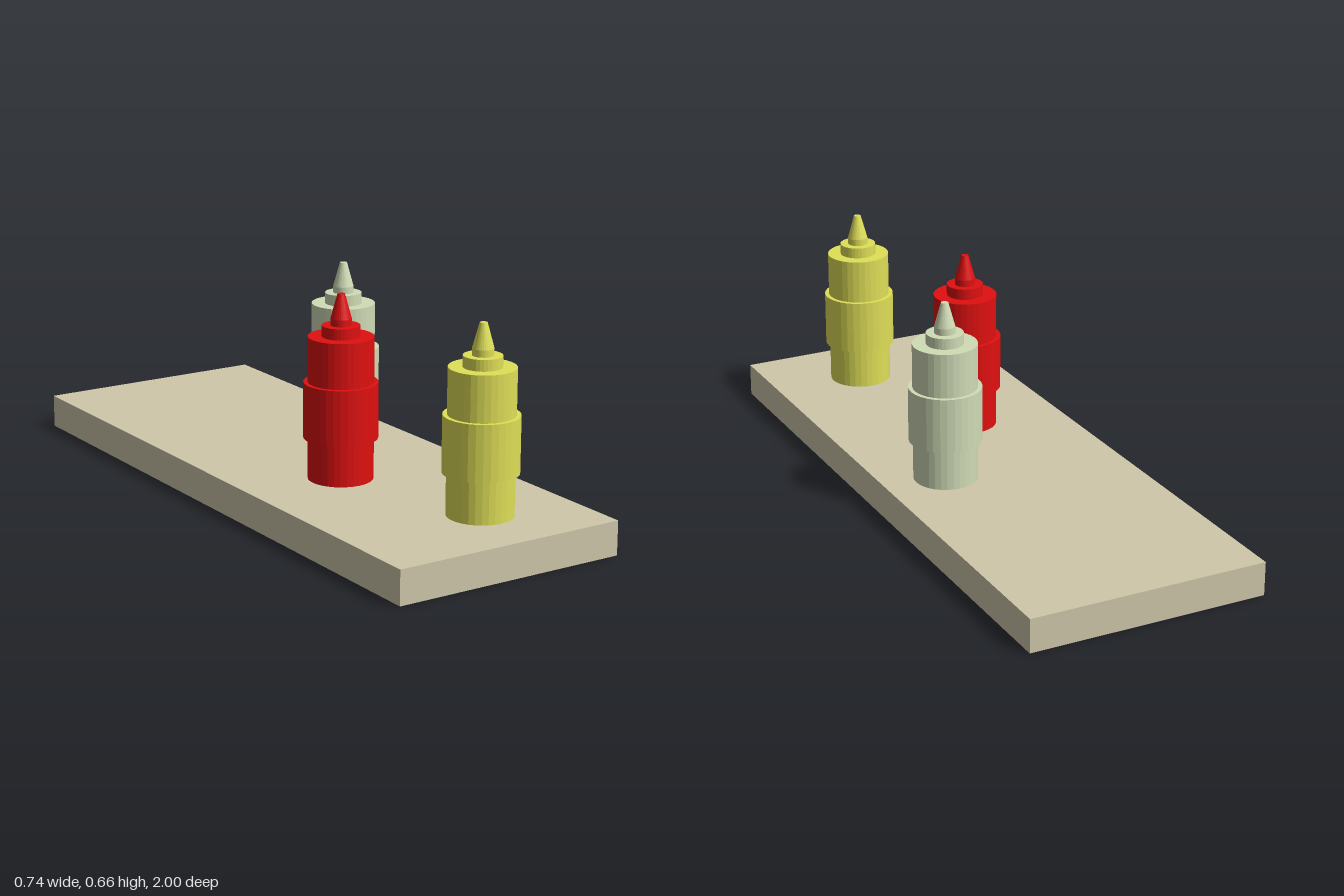
import * as THREE from 'three';

const SIDES = 32;

function material(color, flatShading = true) {
  return new THREE.MeshStandardMaterial({ color, flatShading });
}

// One stacked round section between two heights
function section(name, bottomRadius, topRadius, y0, y1, mat) {
  const mesh = new THREE.Mesh(
    new THREE.CylinderGeometry(topRadius, bottomRadius, y1 - y0, SIDES), mat);
  mesh.position.y = (y0 + y1) / 2;
  mesh.name = name;
  return mesh;
}

// Squeeze bottle standing on the board top
function bottle(name, color, x, z) {
  const group = new THREE.Group();
  group.name = name;
  const mat = material(color);
  group.add(
    section('body', 0.097, 0.097, 0.103, 0.532, mat),
    section('gripBand', 0.11, 0.11, 0.228, 0.396, mat),
    section('collar', 0.056, 0.056, 0.532, 0.565, mat),
    section('nozzleBase', 0.031, 0.031, 0.565, 0.585, mat),
    section('nozzle', 0.031, 0.011, 0.585, 0.658, mat),
  );
  group.position.set(x, 0, z);
  return group;
}

export function createModel() {
  const model = new THREE.Group();
  model.name = 'bottlesOnBoard';

  // Board
  const board = new THREE.Mesh(new THREE.BoxGeometry(0.738, 0.103, 2), material(0xd0c8aa));
  board.position.y = 0.0515;
  board.name = 'board';
  model.add(board);

  // Three bottles
  model.add(
    bottle('yellowBottle', 0xdfdf58, 0.077, 0.75),
    bottle('redBottle', 0xe01010, -0.062, 0.253),
    bottle('greenBottle', 0xd0dcb6, 0.174, -0.091),
  );
  return model;
}
